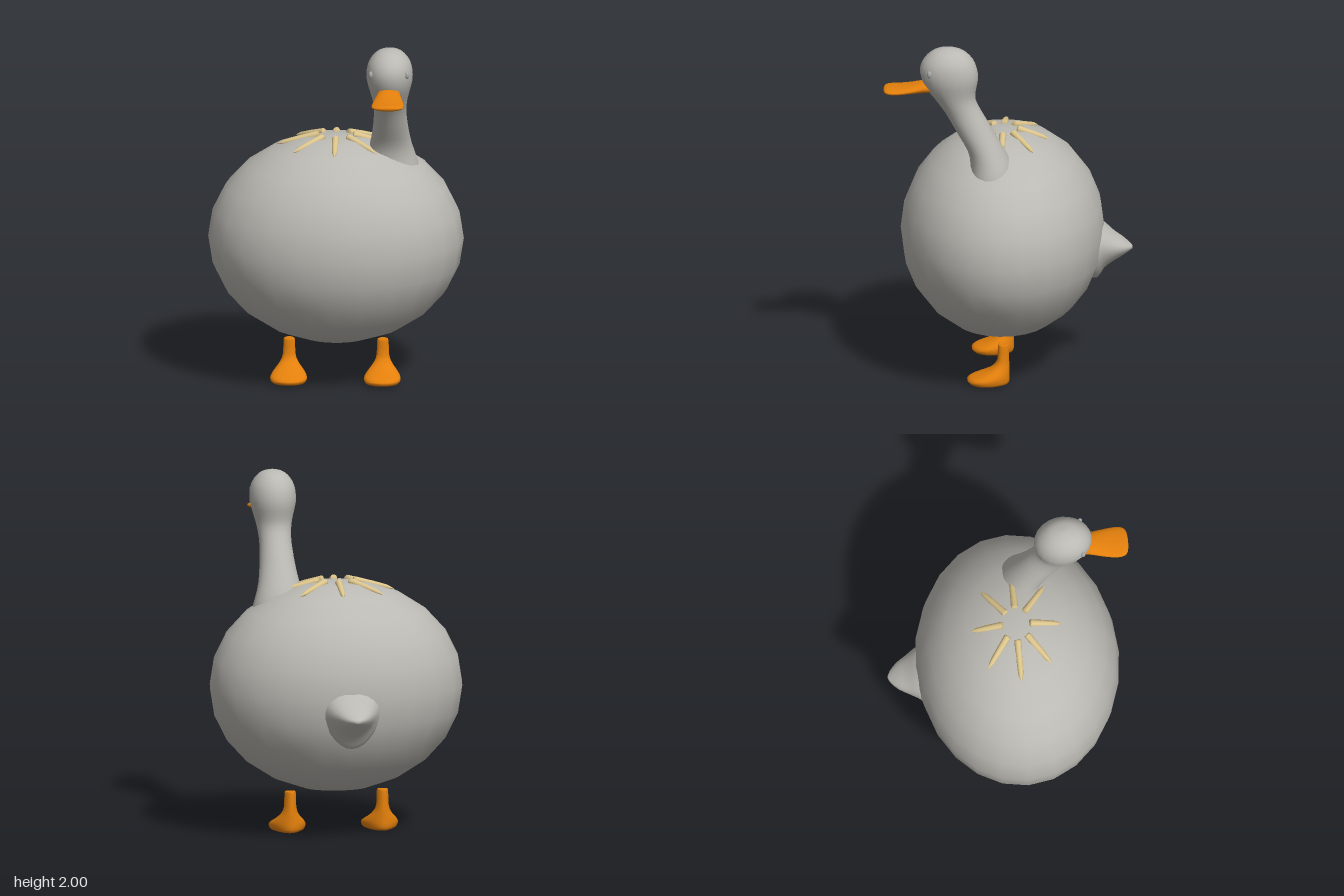
import * as THREE from 'three';

const mat = (name, color) => {
  const m = new THREE.MeshStandardMaterial({ color });
  m.name = name;
  return m;
};

// Closed smooth skin over a list of rings, capped at both ends
function loft(rings) {
  const n = rings[0].length, pos = [], idx = [];
  rings.forEach(r => r.forEach(p => pos.push(...p)));
  for (let i = 0; i < rings.length - 1; i++) {
    for (let j = 0; j < n; j++) {
      const k = (j + 1) % n, a = i * n + j, b = i * n + k;
      idx.push(a, b, b + n, a, b + n, a + n);
    }
  }
  const last = (rings.length - 1) * n, c0 = rings.length * n;
  for (const r of [rings[0], rings[rings.length - 1]]) {
    pos.push(...[0, 1, 2].map(k => r.reduce((s, p) => s + p[k], 0) / n));
  }
  for (let j = 0; j < n; j++) {
    const k = (j + 1) % n;
    idx.push(c0, k, j, c0 + 1, last + j, last + k);
  }
  const g = new THREE.BufferGeometry();
  g.setAttribute('position', new THREE.Float32BufferAttribute(pos, 3));
  g.setIndex(idx);
  g.computeVertexNormals();
  return g;
}

// Smoothly interpolates rows of four numbers
function refine(rows, steps) {
  const out = [];
  const at = i => rows[Math.max(0, Math.min(rows.length - 1, i))];
  for (let i = 0; i < rows.length - 1; i++) {
    for (let s = 0; s < steps; s++) {
      const t = s / steps;
      out.push([0, 1, 2, 3].map(k => {
        const a = at(i - 1)[k], b = at(i)[k], c = at(i + 1)[k], d = at(i + 2)[k];
        return b + 0.5 * t * (c - a + t * (2 * a - 5 * b + 4 * c - d + t * (3 * (b - c) + d - a)));
      }));
    }
  }
  out.push(rows[rows.length - 1]);
  return out;
}

const circle = (n, f) => Array.from({ length: n }, (_, j) => f(j / n * Math.PI * 2));

// Upright skin; rows are [y, front z, back z, half width], egg widens the front
const upright = (rows, egg = 0) => loft(refine(rows, 2).map(([y, f, b, w]) =>
  circle(24, t => [w * Math.sin(t) * (1 + egg * Math.cos(t)), y, (f + b) / 2 + (f - b) / 2 * Math.cos(t)])));

// Skin along +z; rows are [z, half width, low y, high y], flare widens the top
const lengthwise = (rows, flare = 0) => loft(refine(rows, 2).map(([z, w, lo, hi]) =>
  circle(24, t => [w * Math.cos(t) * (1 + flare * Math.sin(t)), (lo + hi) / 2 + (hi - lo) / 2 * Math.sin(t), z])));

export function createModel() {
  const group = new THREE.Group();
  const grey = mat('feather grey', 0xbbb9b3);
  const orange = mat('bill orange', 0xe4800c);
  const straw = mat('straw', 0xdcc58c);
  const eyeGrey = mat('eye grey', 0xa9abab);
  const add = (name, geo, material) => {
    const m = new THREE.Mesh(geo, material);
    m.name = name;
    group.add(m);
    return m;
  };

  // Body
  const body = add('body', new THREE.SphereGeometry(1, 24, 12), grey);
  body.scale.set(0.71, 0.593, 0.567);
  body.position.set(0, 0.828, 0.035);

  // Neck and head in one skin, set off to the left
  add('neckAndHead', upright([
    [1.12, 0.21, -0.09, 0.17], [1.25, 0.205, -0.045, 0.157], [1.32, 0.2, -0.03, 0.138],
    [1.4, 0.215, 0.01, 0.115], [1.49, 0.265, 0.06, 0.1], [1.57, 0.31, 0.105, 0.092],
    [1.63, 0.345, 0.14, 0.09], [1.7, 0.395, 0.172, 0.098], [1.76, 0.442, 0.168, 0.113],
    [1.82, 0.472, 0.157, 0.127], [1.88, 0.48, 0.163, 0.127], [1.93, 0.462, 0.185, 0.113],
    [1.97, 0.425, 0.222, 0.083], [1.99, 0.388, 0.262, 0.052], [2.0, 0.34, 0.31, 0.012],
  ]), grey).position.x = 0.308;

  // Bill
  add('bill', lengthwise([
    [0.38, 0.058, 1.74, 1.805], [0.46, 0.065, 1.738, 1.802], [0.52, 0.077, 1.735, 1.787],
    [0.58, 0.087, 1.733, 1.775], [0.63, 0.09, 1.733, 1.77], [0.66, 0.081, 1.735, 1.768],
    [0.676, 0.06, 1.74, 1.765], [0.682, 0.025, 1.748, 1.758],
  ]), orange).position.x = 0.308;

  // Tail, from its tip into the body
  add('tail', lengthwise([
    [-0.686, 0.008, 0.722, 0.738], [-0.67, 0.038, 0.71, 0.752], [-0.63, 0.078, 0.682, 0.782],
    [-0.58, 0.108, 0.65, 0.815], [-0.53, 0.138, 0.61, 0.86], [-0.49, 0.155, 0.55, 0.885],
    [-0.44, 0.155, 0.56, 0.89],
  ], 0.22), grey);

  // Eyes and feet, mirrored
  for (const side of [-1, 1]) {
    const name = side > 0 ? 'left' : 'right';
    const eye = add(name + 'Eye', new THREE.SphereGeometry(1, 12, 8), eyeGrey);
    eye.scale.set(0.012, 0.021, 0.013);
    eye.position.set(0.308 + side * 0.101, 1.876, 0.423);

    add(name + 'Foot', upright([
      [0.003, 0.16, 0.005, 0.06], [0.012, 0.207, -0.01, 0.09], [0.035, 0.22, -0.015, 0.1],
      [0.055, 0.178, -0.015, 0.092], [0.08, 0.12, -0.015, 0.07], [0.11, 0.077, -0.015, 0.047],
      [0.15, 0.053, -0.013, 0.034], [0.228, 0.05, -0.01, 0.031], [0.237, 0.044, -0.004, 0.025],
    ], 0.25), orange).position.x = side * 0.26;
  }

  // Ring of eight tapered straws on top of the back
  const ring = new THREE.Group();
  ring.name = 'strawRing';
  group.add(ring);
  for (let i = 0; i < 8; i++) {
    const a = i * Math.PI / 4, c = Math.cos(a), s = Math.sin(a);
    const start = new THREE.Vector3(0.095 * c, 1.417, 0.03 + 0.075 * s);
    const end = new THREE.Vector3(0.33 * c, 1.358, 0.03 + 0.255 * s);
    const dir = end.clone().sub(start), len = dir.length();
    const profile = [[0, 0], [0.017, 0], [0.02, 0.006], [0.018, len * 0.5], [0.014, len * 0.8], [0, len]];
    const straws = new THREE.Mesh(
      new THREE.LatheGeometry(profile.map(p => new THREE.Vector2(...p)), 10), straw);
    straws.name = 'straw' + (i + 1);
    straws.position.copy(start);
    straws.quaternion.setFromUnitVectors(new THREE.Vector3(0, 1, 0), dir.normalize());
    ring.add(straws);
  }
  return group;
}
